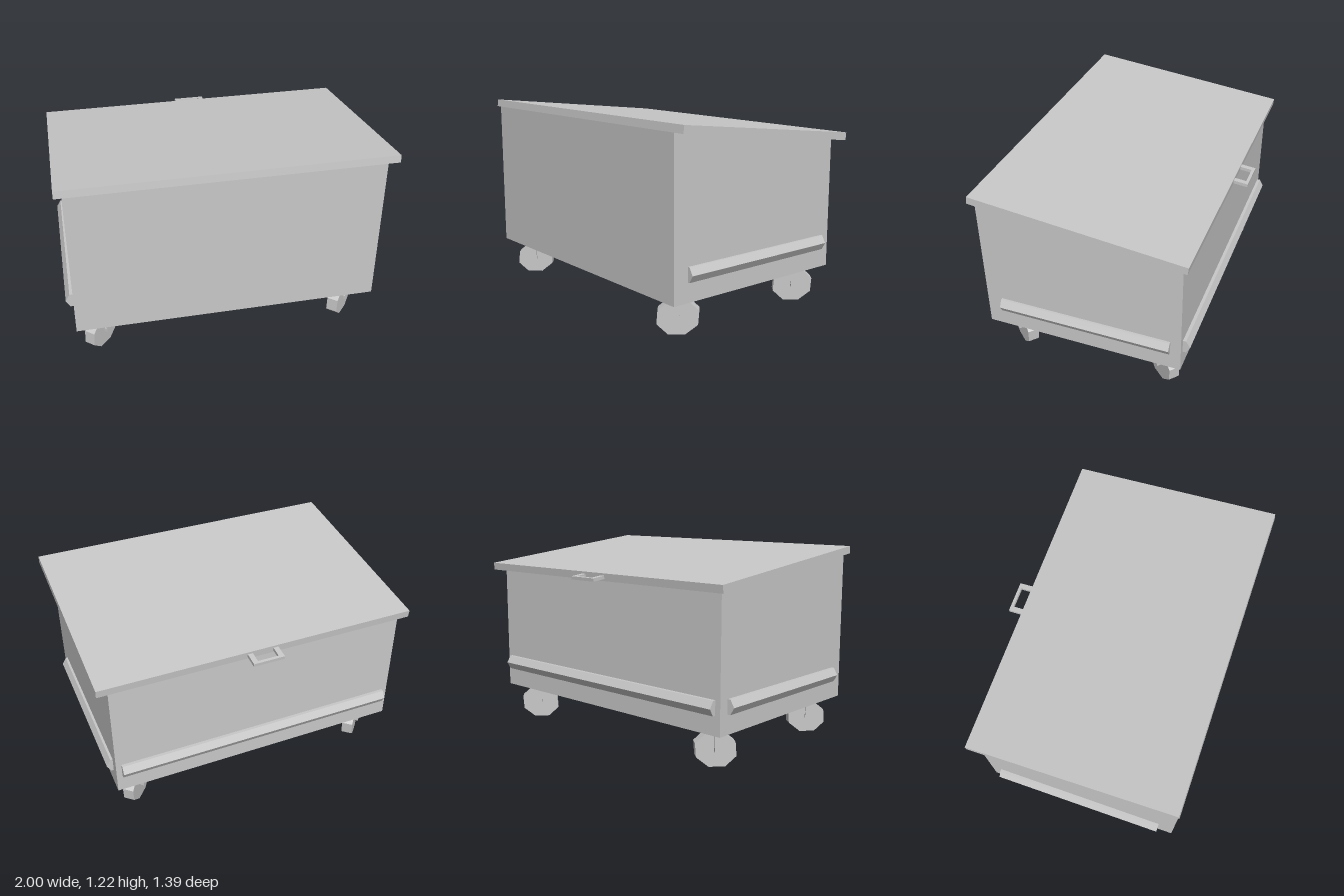
import * as THREE from 'three';

const grey = new THREE.MeshStandardMaterial({ color: 0xc8c8c8 });
grey.name = 'grey metal';

function add(parent, name, geometry) {
  const mesh = new THREE.Mesh(geometry, grey);
  mesh.name = name;
  parent.add(mesh);
  return mesh;
}

function box(w, h, d, x = 0, y = 0, z = 0) {
  return new THREE.BoxGeometry(w, h, d).translate(x, y, z);
}

function prism(points, depth) {
  const shape = new THREE.Shape(points.map(([a, b]) => new THREE.Vector2(a, b)));
  return new THREE.ExtrudeGeometry(shape, { depth, bevelEnabled: false });
}

// Side profile given as [z, y], swept along x
function sweepX(profile, x0, x1) {
  return prism(profile.map(([z, y]) => [-z, y]), x1 - x0).rotateY(Math.PI / 2).translate(x0, 0, 0);
}

function polygon(sides, rx, ry, turn = 0) {
  return Array.from({ length: sides }, (_, i) => {
    const a = turn + (i / sides) * Math.PI * 2;
    return [rx * Math.cos(a), ry * Math.sin(a)];
  });
}

// Octagonal wheel held between two thin prongs
function caster(x, z) {
  const group = new THREE.Group();
  group.name = 'caster';
  const r = 0.1 / Math.cos(Math.PI / 8);
  const rim = polygon(8, r * 1.18, r * 1.01, Math.PI / 8).map(([a, b]) => [a + b * 0.075, b]);
  add(group, 'wheel', prism(rim, 0.07).translate(0, 0.103, -0.035));
  add(group, 'axle', box(0.022, 0.022, 0.106, 0, 0.107, 0));
  for (const s of [-1, 1]) add(group, 'prong', box(0.02, 0.14, 0.01, 0, 0.165, s * 0.053));
  group.position.set(x, 0, z);
  group.rotation.y = 0.85;
  return group;
}

export function createModel() {
  const model = new THREE.Group();
  model.name = 'wheeledBin';

  // Body with a top that slopes down to the back
  add(model, 'body', sweepX([[0.695, 0.23], [0.695, 1.172], [-0.56, 1.036], [-0.56, 0.23]], -0.955, 0.925));

  // Overhanging sloped lid
  add(model, 'lid', sweepX([[0.697, 1.172], [0.691, 1.218], [-0.609, 1.078], [-0.604, 1.031]], -1, 1));

  // Pull handle on the lid's back edge
  const handle = new THREE.Group();
  handle.name = 'handle';
  add(handle, 'handleBar', box(0.196, 0.02, 0.018, 0, 0, -0.08));
  for (const s of [-1, 1]) add(handle, 'handleArm', box(0.032, 0.02, 0.08, s * 0.082, 0, -0.035));
  handle.position.set(-0.002, 1.054, -0.606);
  handle.rotation.x = -0.107;
  model.add(handle);

  // Hexagonal bumper rails, half sunk into the back and both sides
  const hex = polygon(6, 0.051, 0.051);
  add(model, 'backRail', sweepX(hex, -0.92, 0.89).translate(0, 0.392, -0.554));
  for (const x of [-0.949, 0.914]) {
    add(model, 'sideRail', prism(hex, 1.092).translate(x, 0.392, -0.495));
  }

  // Four casters, all turned the same way
  for (const x of [-0.8025, 0.7725]) {
    for (const z of [0.5375, -0.412]) model.add(caster(x, z));
  }
  return model;
}
